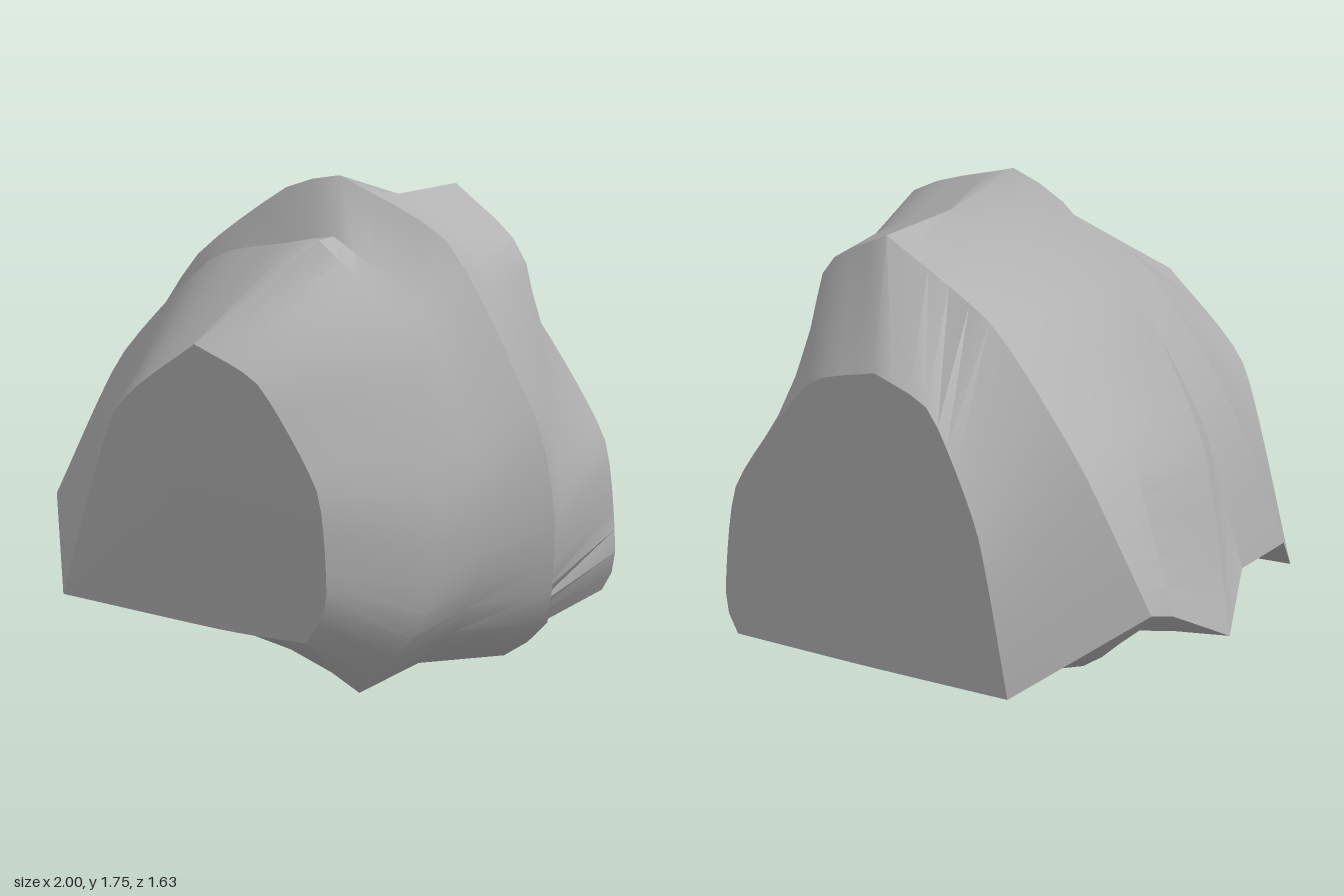
import * as THREE from 'three';
import { toCreasedNormals } from 'three/addons/utils/BufferGeometryUtils.js';

// Evenly spaced points along one stretch of an outline, without the last one
function stretch(points, count) {
  const curve = new THREE.CatmullRomCurve3(points, false, 'catmullrom', 0.3);
  return curve.getSpacedPoints(count).slice(0, -1);
}

// Section on the tilted plane z = z0 + sx * x + sy * y. The outline runs from the
// left tip over the peak to the low right corner, then back underneath.
function section([z0, sx, sy], peak, corner, outline) {
  const p = outline.map(([x, y]) => new THREE.Vector3(x, y, z0 + sx * x + sy * y));
  return [
    ...stretch(p.slice(0, peak + 1), 16),
    ...stretch(p.slice(peak, corner + 1), 18),
    ...stretch([...p.slice(corner), p[0]], 14),
  ];
}

// Hollow between two ridges: a blend of both, lowered and drawn in on the left
function hollow(ringA, ringB, t, scaleY) {
  return ringA.map((a, j) => {
    const p = a.clone().lerp(ringB[j], t);
    return p.set(p.x * 0.94 + 0.04, 0.7 + (p.y - 0.7) * scaleY, p.z);
  });
}

function surface(points, index, crease) {
  const geometry = new THREE.BufferGeometry().setFromPoints(points);
  geometry.setIndex(index);
  return toCreasedNormals(geometry, crease);
}

// Skin between neighbouring sections
function skin(rings) {
  const n = rings[0].length;
  const index = [];
  for (let i = 0; i < rings.length - 1; i++) {
    for (let j = 0; j < n; j++) {
      const a = i * n + j, b = i * n + ((j + 1) % n);
      index.push(a, b, a + n, b, b + n, a + n);
    }
  }
  return surface(rings.flat(), index, 0.65);
}

// Broken end face, a shallow fan around a centre point
function endFace(ring, centre, front) {
  const n = ring.length;
  const index = [];
  for (let j = 0; j < n; j++) {
    const k = (j + 1) % n;
    index.push(n, front ? k : j, front ? j : k);
  }
  return surface([...ring, centre], index, 0.6);
}

export function createModel() {
  const group = new THREE.Group();
  group.name = 'rock';
  const stone = new THREE.MeshStandardMaterial({ color: 0xb2b2b2 });
  stone.name = 'grey stone';

  const frontEdge = section([0.73, -0.06, 0.06], 2, 6, [
    [-0.56, 0.29], [-0.32, 0.96], [0.02, 1.23],
    [0.28, 1.11], [0.51, 0.75], [0.53, 0.36], [0.44, 0.21], [0.1, 0.225],
  ]);
  const frontRidge = section([0.43, 0.01, -0.03], 3, 7, [
    [-0.87, 0.56], [-0.6, 1.07], [-0.2, 1.46], [0.25, 1.56],
    [0.64, 1.26], [0.8, 0.65], [0.73, 0.27], [0.46, 0],
    [0.1, 0.17], [-0.56, 0.29], [-0.66, 0.5],
  ]);
  const middleRidge = section([0, -0.03, 0.095], 4, 9, [
    [-0.93, 0.33], [-0.77, 0.95], [-0.46, 1.4], [-0.05, 1.69], [0.17, 1.75],
    [0.62, 1.55], [0.95, 0.95], [1, 0.6], [0.94, 0.23], [0.75, 0.1],
    [0.2, 0.2], [-0.57, 0.27],
  ]);
  const backRidge = section([-0.31, 0.07, -0.075], 3, 7, [
    [-1, 0.56], [-0.68, 1.04], [-0.28, 1.45], [0.24, 1.65],
    [0.57, 1.42], [0.78, 0.6], [0.72, 0.28], [0.5, 0.06],
    [0.1, 0.19], [-0.62, 0.26],
  ]);
  const backEdge = section([-0.8, -0.05, 0.05], 3, 7, [
    [-0.63, 0.25], [-0.47, 0.82], [-0.24, 1.21], [0.01, 1.29],
    [0.3, 1.18], [0.6, 0.74], [0.63, 0.32], [0.57, 0.2], [0, 0.22],
  ]);

  const add = (name, geometry) => {
    const mesh = new THREE.Mesh(geometry, stone);
    mesh.name = name;
    group.add(mesh);
  };
  add('ridgedBody', skin([
    frontEdge,
    frontRidge,
    hollow(frontRidge, middleRidge, 0.4, 0.92),
    middleRidge,
    hollow(middleRidge, backRidge, 0.45, 0.95),
    backRidge,
    backEdge,
  ]));
  add('frontBreak', endFace(frontEdge, new THREE.Vector3(-0.05, 0.72, 0.8), true));
  add('backBreak', endFace(backEdge, new THREE.Vector3(0.03, 0.68, -0.77), false));
  return group;
}
